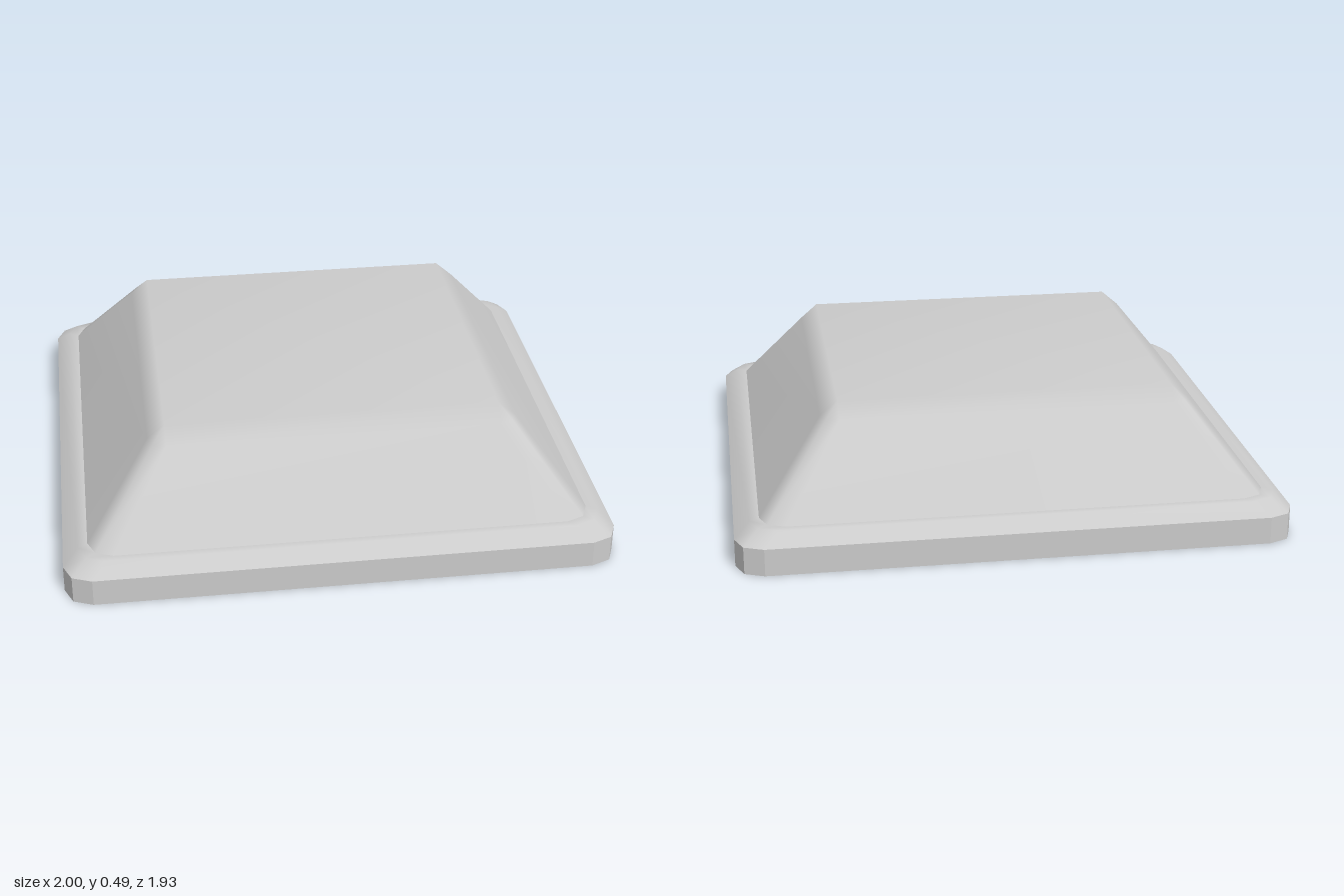
import * as THREE from 'three';
import { mergeVertices } from 'three/addons/utils/BufferGeometryUtils.js';

// Rectangle outline with two-segment rounded corners: [halfX, halfZ, radius, y]
function ring([hx, hz, r, y]) {
  const points = [];
  for (let corner = 0; corner < 4; corner++) {
    const sx = corner === 0 || corner === 3 ? 1 : -1;
    const sz = corner < 2 ? 1 : -1;
    for (let k = 0; k < 3; k++) {
      const a = (corner + k / 2) * Math.PI / 2;
      points.push(sx * (hx - r) + r * Math.cos(a), y, sz * (hz - r) + r * Math.sin(a));
    }
  }
  return points;
}

// Skin a stack of outlines, listed from bottom to top; a zero-size outline closes an end
function loft(sections, flat) {
  const n = 12, index = [];
  for (let s = 0; s < sections.length - 1; s++) {
    for (let i = 0; i < n; i++) {
      const j = (i + 1) % n;
      const a = s * n + i, b = s * n + j, c = a + n, d = b + n;
      index.push(a, c, b, b, c, d);
    }
  }
  let geo = new THREE.BufferGeometry();
  geo.setAttribute('position', new THREE.Float32BufferAttribute(sections.flatMap(ring), 3));
  geo.setIndex(index);
  geo = mergeVertices(geo, 1e-4);

  // Drop triangles collapsed by merged corners
  const src = geo.index.array, kept = [];
  for (let t = 0; t < src.length; t += 3) {
    const [a, b, c] = [src[t], src[t + 1], src[t + 2]];
    if (a !== b && b !== c && c !== a) kept.push(a, b, c);
  }
  geo.setIndex(kept);
  if (flat) geo = geo.toNonIndexed();
  geo.computeVertexNormals();
  return geo;
}

export function createModel() {
  const group = new THREE.Group();
  group.name = 'taperedCap';

  const add = (name, sections, flat = false) => {
    const material = new THREE.MeshStandardMaterial({ color: 0xcccccc, flatShading: flat });
    const mesh = new THREE.Mesh(loft(sections, flat), material);
    mesh.name = name;
    group.add(mesh);
  };

  // Base slab: closed underside and upright walls
  add('baseSlab', [
    [0, 0, 0, 0],
    [1, 0.965, 0.1, 0],
    [1, 0.965, 0.1, 0.1],
  ], true);

  // Bevel and narrow ledge around the base
  add('baseRim', [
    [1, 0.965, 0.1, 0.1],
    [0.945, 0.912, 0.095, 0.145],
    [0.91, 0.883, 0.09, 0.145],
  ]);

  // Sloped body with softened top edge
  add('taperedBody', [
    [0.91, 0.883, 0.09, 0.145],
    [0.675, 0.652, 0.065, 0.438],
    [0.61, 0.59, 0, 0.493],
    [0, 0, 0, 0.493],
  ]);

  return group;
}
